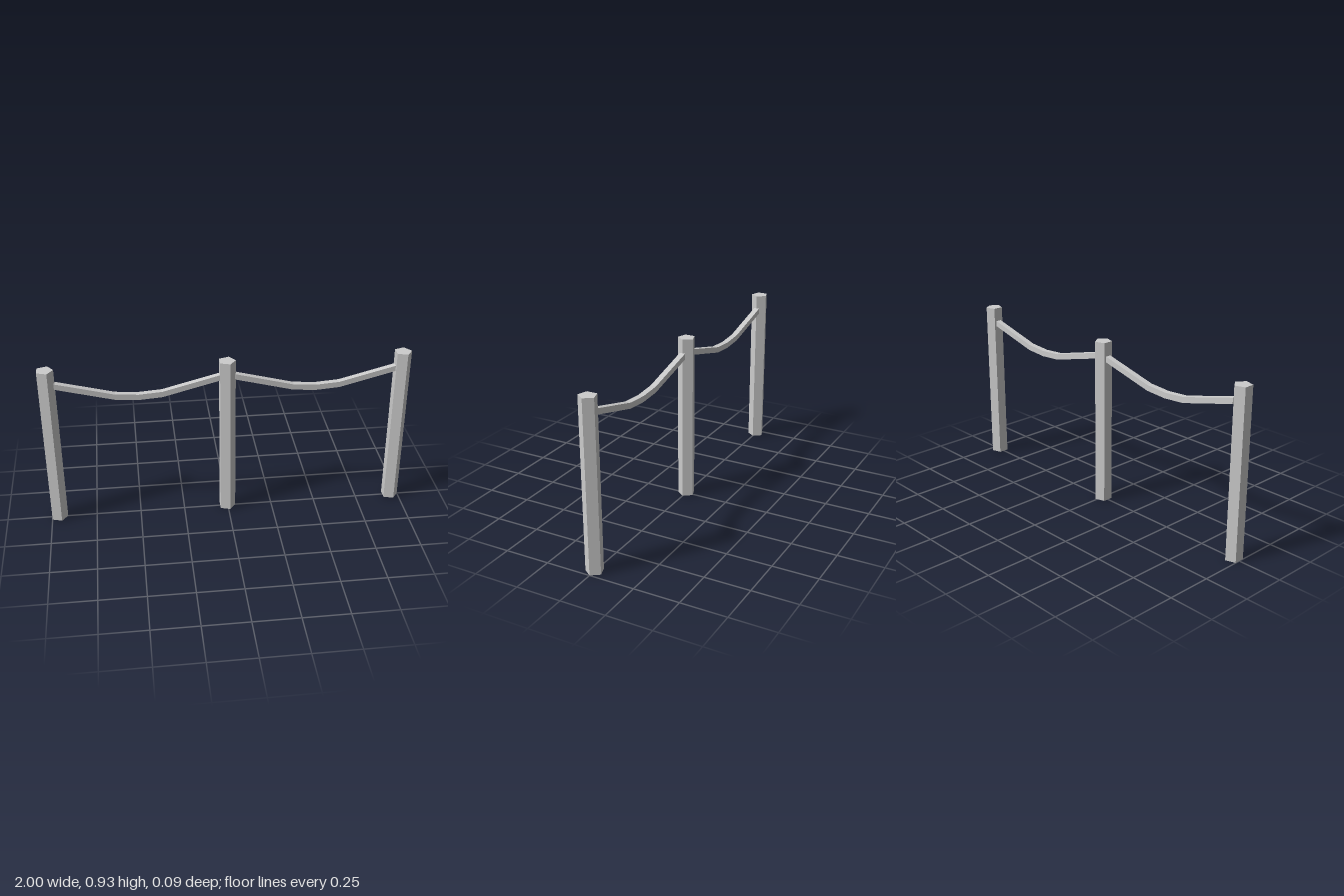
import * as THREE from 'three';

const material = new THREE.MeshStandardMaterial({ color: 0xcccccc, flatShading: true });

const POST_HEIGHT = 0.93;
const POST_RADIUS = 0.048;
const RAIL_SIZE = 0.032;

// Five-sided post with one corner pointing to +x
function makePost(x) {
  const geometry = new THREE.CylinderGeometry(POST_RADIUS, POST_RADIUS, POST_HEIGHT, 5);
  geometry.rotateY(Math.PI / 2);
  const post = new THREE.Mesh(geometry, material);
  post.position.set(x, POST_HEIGHT / 2, 0);
  return post;
}

// Sagging square rail: a bent band in x/y, extruded through z
function makeRail(x) {
  const centreLine = [
    [-0.44, 0.838], [-0.125, 0.757], [0, 0.748], [0.125, 0.757], [0.438, 0.838],
  ];
  const h = RAIL_SIZE / 2;
  const top = centreLine.map(([px, py]) => new THREE.Vector2(px, py + h));
  const bottom = centreLine.map(([px, py]) => new THREE.Vector2(px, py - h));
  const shape = new THREE.Shape([...bottom, ...top.reverse()]);
  const geometry = new THREE.ExtrudeGeometry(shape, { depth: RAIL_SIZE, bevelEnabled: false });
  geometry.translate(0, 0, -h);
  const rail = new THREE.Mesh(geometry, material);
  rail.position.x = x;
  return rail;
}

export function createModel() {
  const model = new THREE.Group();
  model.name = 'ropeFence';

  [['rightPost', -0.961], ['middlePost', -0.005], ['leftPost', 0.952]].forEach(([name, x]) => {
    const post = makePost(x);
    post.name = name;
    model.add(post);
  });

  [['rightRail', -0.478], ['leftRail', 0.482]].forEach(([name, x]) => {
    const rail = makeRail(x);
    rail.name = name;
    model.add(rail);
  });

  return model;
}
